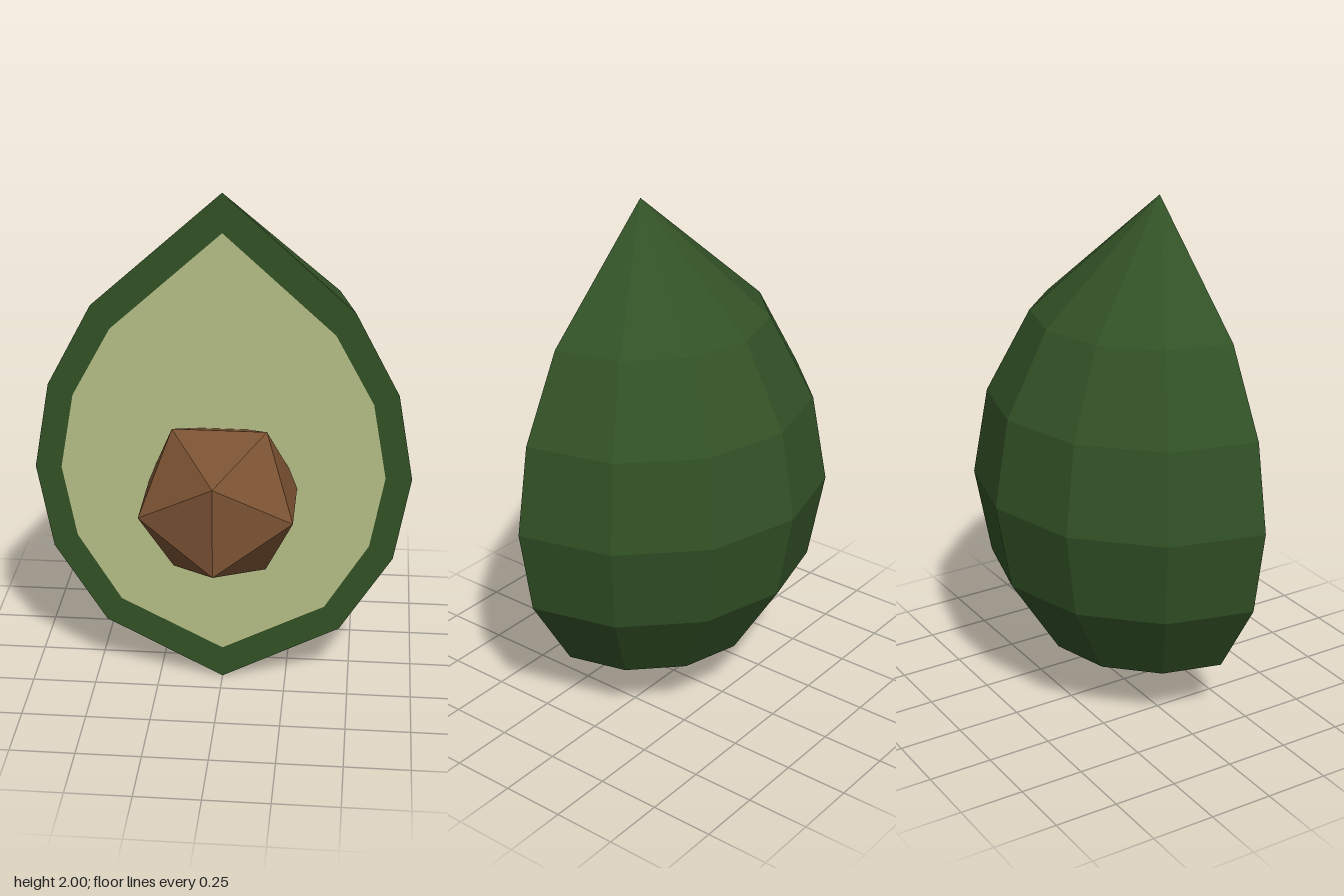
import * as THREE from 'three';

const CUT_Z = 0.155; // plane of the cut face

// half outlines, bottom to top
const skinProfile = [[0, 0], [0.46, 0.24], [0.66, 0.56], [0.72, 0.9], [0.66, 1.24], [0.49, 1.56], [0, 2]];
const fleshProfile = [[0, 0.13], [0.4, 0.335], [0.567, 0.61], [0.62, 0.9], [0.567, 1.2], [0.42, 1.47], [0, 1.85]];

const toVectors = (profile) => profile.map(([x, y]) => new THREE.Vector2(x, y));

// closed outline made by mirroring a half profile
function outline(profile) {
  const right = toVectors(profile);
  const left = right.slice(1, -1).reverse().map((p) => new THREE.Vector2(-p.x, p.y));
  return [...right, ...left];
}

export function createModel() {
  const skinGreen = new THREE.MeshStandardMaterial({ color: 0x325126, flatShading: true });
  const fleshGreen = new THREE.MeshStandardMaterial({ color: 0xb6be86, flatShading: true });
  const stoneBrown = new THREE.MeshStandardMaterial({ color: 0x7b5333, flatShading: true });

  const group = new THREE.Group();
  group.name = 'halvedFruit';
  const add = (name, geometry, material, y, z) => {
    const mesh = new THREE.Mesh(geometry, material);
    mesh.name = name;
    mesh.position.set(0, y, z);
    group.add(mesh);
  };

  // rounded back: half a lathe in six facets
  add('skin', new THREE.LatheGeometry(toVectors(skinProfile), 6, Math.PI / 2, Math.PI), skinGreen, 0, CUT_Z);

  // cut face: skin rim around the flesh
  const rim = new THREE.Shape(outline(skinProfile));
  rim.holes.push(new THREE.Path(outline(fleshProfile)));
  add('skinRim', new THREE.ShapeGeometry(rim), skinGreen, 0, CUT_Z);
  add('flesh', new THREE.ShapeGeometry(new THREE.Shape(outline(fleshProfile))), fleshGreen, 0, CUT_Z);

  // stone half sunk into the flesh
  add('stone', new THREE.IcosahedronGeometry(0.336, 0), stoneBrown, 0.844, 0.28);

  return group;
}
